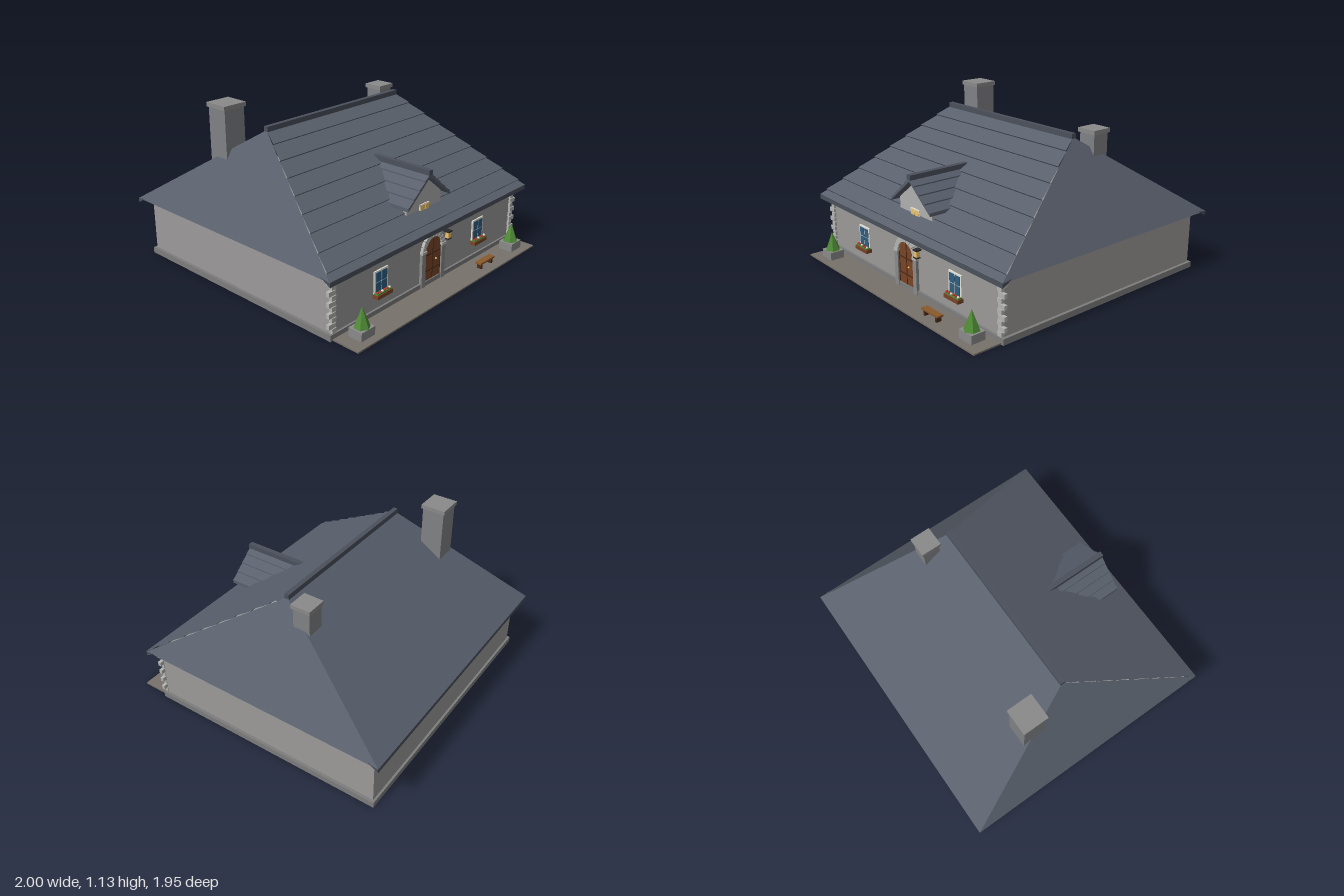
import * as THREE from 'three';

const C = {
  wall: 0x9c9a99, stone: 0x8a8a8a, quoin: 0xb4b4b2, plinth: 0x7d7d7d, roof: 0x59606c, cap: 0x4a505b,
  chimney: 0x808184, gable: 0xb0b0b0, paving: 0x77716a, wood: 0x7a4526, darkWood: 0x4a2a18, bench: 0x8a5a2b,
  frame: 0xe8e4d8, glass: 0x2f5d80, leaf: 0x4f8a35, red: 0xc03a30, glow: 0xf0c468, iron: 0x2b2b2e,
};
const mats = {};
const mat = (c, double = false) => (mats[c + '' + double] ??= new THREE.MeshStandardMaterial({
  color: c, flatShading: true, side: double ? THREE.DoubleSide : THREE.FrontSide }));

function add(parent, name, geo, color, double) {
  const m = new THREE.Mesh(geo, mat(color, double));
  m.name = name;
  parent.add(m);
  return m;
}
// Box from its limits
function box(parent, name, color, x0, x1, y0, y1, z0, z1) {
  const m = add(parent, name, new THREE.BoxGeometry(x1 - x0, y1 - y0, z1 - z0), color);
  m.position.set((x0 + x1) / 2, (y0 + y1) / 2, (z0 + z1) / 2);
}
function group(parent, name) {
  const g = new THREE.Group();
  g.name = name;
  parent.add(g);
  return g;
}
const polygon = (pts) => new THREE.Shape(pts.map(([x, y]) => new THREE.Vector2(x, y)));
// Extruded outline between two depths
function prism(parent, name, color, shape, z0, z1) {
  const geo = new THREE.ExtrudeGeometry(shape, { depth: z1 - z0, bevelEnabled: false, curveSegments: 16 });
  add(parent, name, geo.translate(0, 0, z0), color);
}
// Surface from a list of three- or four-cornered faces, corners counter-clockwise
function surface(faces) {
  const g = new THREE.BufferGeometry();
  const pos = faces.flatMap(([a, b, c, d]) => (d ? [a, b, c, a, c, d] : [a, b, c]).flat());
  g.setAttribute('position', new THREE.Float32BufferAttribute(pos, 3));
  g.computeVertexNormals();
  return g;
}

const MID = -0.073, EAVE = 0.41, RIDGE = 0.995, RUN = 0.9;

function mainRoof(root) {
  const roof = group(root, 'mainRoof');
  // Point on a slope: height, side, lift off the slope, z direction
  const at = (y, sx, lift, dz) => {
    const t = (y - EAVE) / (RIDGE - EAVE);
    return [sx * (1 - 0.38 * t), y + lift * 0.84, MID + dz * (RUN * (1 - t) + lift * 0.54)];
  };
  // Front slope in overlapping slate courses
  const levels = [EAVE];
  for (let y = 0.44; y < 0.96; y += 0.07) levels.push(y);
  levels.push(RIDGE);
  const front = [];
  for (let i = 0; i < levels.length - 1; i++) {
    const [a, b] = [levels[i], levels[i + 1]], h = i ? 0.01 : 0.004;
    front.push([at(a, -1, h, 1), at(a, 1, h, 1), at(b, 1, 0, 1), at(b, -1, 0, 1)]);
    front.push([at(a, -1, 0, 1), at(a, 1, 0, 1), at(a, 1, h, 1), at(a, -1, h, 1)]);
  }
  add(roof, 'frontSlope', surface(front), C.roof, true);
  const p = (y, sx, dz) => at(y, sx, 0, dz);
  add(roof, 'backSlope', surface([[p(EAVE, 1, -1), p(EAVE, -1, -1), p(RIDGE, -1, -1), p(RIDGE, 1, -1)]]), C.roof, true);
  // Hipped ends
  for (const s of [1, -1])
    add(roof, 'hipEnd', surface([[p(EAVE, s, s), p(EAVE, s, -s), p(RIDGE, s, s)]]), C.roof, true);
  // Sloping eaves boards along front and back
  for (const d of [1, -1]) {
    const e = MID + d * RUN, inner = MID + d * 0.83;
    add(roof, 'eaves', surface([
      [[-d, 0.38, e], [d, 0.38, e], [d, EAVE, e], [-d, EAVE, e]],
      [[-d, 0.38, e], [-d, 0.42, inner], [d, 0.42, inner], [d, 0.38, e]],
      [[d, 0.38, e], [d, 0.42, inner], [d, EAVE, e]],
      [[-d, 0.38, e], [-d, EAVE, e], [-d, 0.42, inner]],
    ]), C.cap, true);
  }
  box(roof, 'ridgeCap', C.cap, -0.625, 0.625, 0.98, 1.02, MID - 0.016, MID + 0.016);
}

function dormer(root) {
  const g = group(root, 'dormer');
  prism(g, 'dormerWall', C.gable, polygon(
    [[-0.175, 0.44], [0.175, 0.44], [0.175, 0.575], [0, 0.715], [-0.175, 0.575]]), 0.35, 0.69);
  // Stepped roof outline, right half then mirrored
  const half = [], steps = 4;
  for (let i = 0; i < steps; i++) {
    const f = i / steps, n = (i + 1) / steps;
    half.push([0.215 * (1 - f), 0.565 + 0.18 * f + 0.008], [0.215 * (1 - n), 0.565 + 0.18 * n]);
  }
  const mirror = half.slice(0, -1).reverse().map(([x, y]) => [-x, y]);
  prism(g, 'dormerRoof', C.roof, polygon(
    [[0.215, 0.55], ...half, ...mirror, [-0.215, 0.55], [0, 0.725]]), 0.27, 0.735);
  box(g, 'dormerRidge', C.cap, -0.018, 0.018, 0.735, 0.768, 0.27, 0.738);
  box(g, 'dormerWindowFrame', C.frame, -0.047, 0.047, 0.47, 0.537, 0.68, 0.697);
  for (const s of [-1, 1])
    box(g, 'dormerPane', C.glow, s * 0.022 - 0.019, s * 0.022 + 0.019, 0.475, 0.532, 0.69, 0.7);
}

function chimney(root, x, z, w, top) {
  const g = group(root, 'chimney'), r = w / 2, c = r + 0.01;
  box(g, 'chimneyShaft', C.chimney, x - r, x + r, 0.6, top - 0.02, z - r, z + r);
  box(g, 'chimneyCap', C.stone, x - c, x + c, top - 0.028, top, z - c, z + c);
}

function doorway(root) {
  const g = group(root, 'doorway'), yc = 0.25;
  const door = new THREE.Shape();
  door.moveTo(-0.083, 0.03);
  door.lineTo(0.083, 0.03);
  door.absarc(0, yc, 0.083, 0, Math.PI, false);
  prism(g, 'door', C.wood, door, 0.75, 0.772);
  for (const x of [-0.08, 0, 0.08])
    box(g, 'doorBatten', C.darkWood, x - 0.003, x + 0.003, 0.04, x ? yc : 0.33, 0.77, 0.775);
  for (const y of [0.11, 0.22]) box(g, 'doorStrap', C.darkWood, -0.08, 0.08, y - 0.004, y + 0.004, 0.77, 0.776);
  const knob = add(g, 'doorKnob', new THREE.SphereGeometry(0.007, 8, 6), C.glow);
  knob.position.set(0.03, 0.17, 0.78);
  // Jambs, imposts and arch stones
  for (const s of [-1, 1]) {
    box(g, 'jamb', C.stone, s * 0.102 - 0.019, s * 0.102 + 0.019, 0.01, 0.25, 0.75, 0.785);
    box(g, 'impost', C.quoin, s * 0.102 - 0.022, s * 0.102 + 0.022, 0.245, 0.262, 0.75, 0.79);
  }
  const n = 9;
  for (let i = 0; i < n; i++) {
    const a = (i + 0.05) / n * Math.PI, b = (i + 0.95) / n * Math.PI, r = i === 4 ? 0.122 : 0.117;
    const s = new THREE.Shape();
    s.absarc(0, yc, r, a, b, false);
    s.absarc(0, yc, 0.083, b, a, true);
    prism(g, 'archStone', C.quoin, s, 0.75, 0.785);
  }
  // Wall lantern
  const l = group(root, 'lantern');
  box(l, 'lanternGlass', C.glow, 0.126, 0.154, 0.28, 0.322, 0.776, 0.802);
  box(l, 'lanternBase', C.iron, 0.123, 0.157, 0.273, 0.281, 0.773, 0.805);
  box(l, 'lanternTop', C.iron, 0.121, 0.159, 0.322, 0.332, 0.76, 0.807);
}

function windowUnit(root, x) {
  const g = group(root, 'window');
  g.position.x = x;
  box(g, 'windowFrame', C.frame, -0.062, 0.062, 0.145, 0.293, 0.75, 0.774);
  for (const sx of [-1, 1]) for (const y of [0.155, 0.221])
    box(g, 'pane', C.glass, sx * 0.027 - 0.023, sx * 0.027 + 0.023, y, y + 0.061, 0.76, 0.777);
  box(g, 'flowerBox', C.wood, -0.07, 0.07, 0.122, 0.147, 0.765, 0.808);
  box(g, 'flowerLeaves', C.leaf, -0.064, 0.064, 0.145, 0.155, 0.772, 0.802);
  for (let i = 0; i < 6; i++) {
    const f = add(g, 'flower', new THREE.IcosahedronGeometry(0.009, 0), i % 3 === 2 ? C.frame : C.red);
    f.position.set(-0.055 + i * 0.022, 0.16, 0.793);
  }
}

export function createModel() {
  const root = new THREE.Group();
  root.name = 'cottage';
  // Walls, plinth and paving
  box(root, 'walls', C.wall, -0.93, 0.93, 0.02, 0.415, -0.907, 0.765);
  box(root, 'plinth', C.plinth, -0.95, 0.95, 0, 0.04, -0.922, 0.779);
  box(root, 'paving', C.paving, -0.93, 0.93, 0, 0.01, 0.77, 0.973);
  mainRoof(root);
  dormer(root);
  chimney(root, -0.68, -0.378, 0.156, 1.132);
  chimney(root, 0.64, -0.235, 0.12, 1.036);
  doorway(root);
  for (const s of [-1, 1]) {
    windowUnit(root, s * 0.505);
    // Alternating long and short corner stones
    for (let i = 0; i < 10; i++) {
      const y = 0.06 + i * 0.0345, c = s * (i % 2 ? 0.932 : 0.917), w = i % 2 ? 0.028 : 0.018;
      box(root, 'cornerStone', C.quoin, c - w, c + w, y - 0.015, y + 0.015, 0.757, 0.78);
    }
    // Potted evergreens
    const x = s * 0.785;
    box(root, 'planter', C.stone, x - 0.058, x + 0.058, 0.01, 0.066, 0.818, 0.92);
    const tree = add(root, 'evergreen', new THREE.ConeGeometry(0.052, 0.13, 6), C.leaf);
    tree.position.set(x, 0.13, 0.87);
  }
  // Bench
  box(root, 'benchSeat', C.bench, 0.353, 0.515, 0.044, 0.056, 0.87, 0.915);
  for (const x of [0.375, 0.493]) box(root, 'benchLeg', C.darkWood, x - 0.008, x + 0.008, 0.01, 0.045, 0.875, 0.91);
  return root;
}
